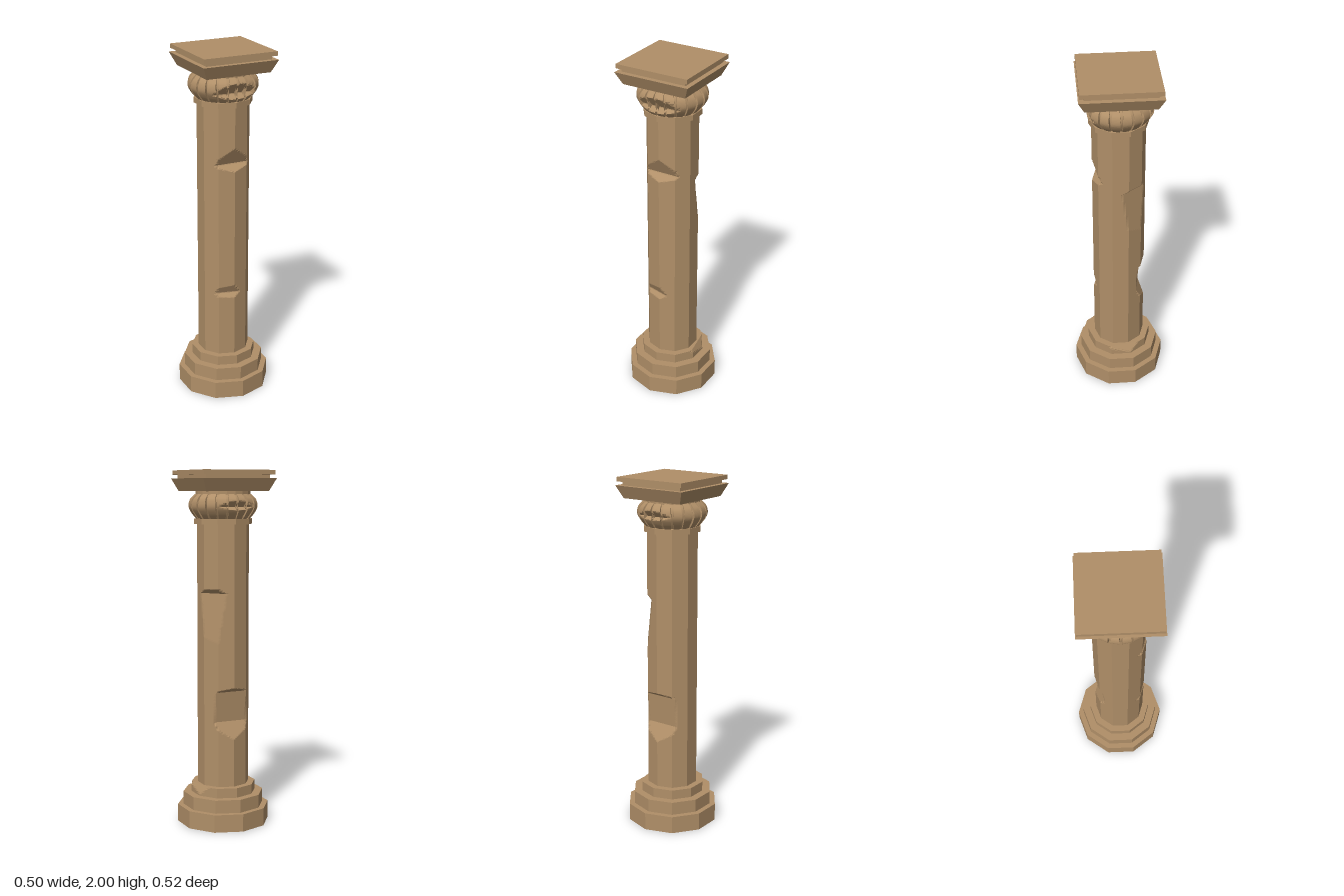
import * as THREE from 'three';

const SIDES = 10;
const rad = THREE.MathUtils.degToRad;

// Radius of a unit decagon (corner on +z) in direction a
function decagon(a) {
  const step = (2 * Math.PI) / SIDES;
  const t = ((a % step) + step) % step;
  return Math.cos(step / 2) / Math.cos(t - step / 2);
}

// A chip is a bearing from +z (degrees) and a concave profile of [y, depth from axis].
// Returns how far from the axis the stone remains in direction a at height y.
function chipLimit(chip, a, y) {
  const c = Math.cos(a - rad(chip.bearing));
  if (c < 0.2) return Infinity;
  let d = 0;
  for (let i = 1; i < chip.profile.length; i++) {
    const [y0, r0] = chip.profile[i - 1];
    const [y1, r1] = chip.profile[i];
    d = Math.max(d, r0 + ((r1 - r0) * (y - y0)) / (y1 - y0));
  }
  return d / c;
}

// Squares a round geometry to a decagon if asked, then knocks the chips out of it
function carve(geo, chips, faceted) {
  const p = geo.attributes.position;
  for (let i = 0; i < p.count; i++) {
    const x = p.getX(i), y = p.getY(i), z = p.getZ(i);
    const a = Math.atan2(x, z);
    let r = Math.hypot(x, z) * (faceted ? decagon(a) : 1);
    for (const chip of chips) r = Math.min(r, chipLimit(chip, a, y));
    p.setXYZ(i, r * Math.sin(a), y, r * Math.cos(a));
  }
  geo.computeVertexNormals();
  return geo;
}

export function createModel() {
  const group = new THREE.Group();
  group.name = 'weatheredColumn';
  const stone = new THREE.MeshStandardMaterial({ color: 0xb08f68, flatShading: true });
  stone.name = 'sandstone';

  const add = (name, geo, parent = group) => {
    const mesh = new THREE.Mesh(geo, stone);
    mesh.name = name;
    parent.add(mesh);
    return mesh;
  };
  const drum = (r0, r1, y0, y1, n = SIDES, rows = 1, open = false) =>
    new THREE.CylinderGeometry(r1, r0, y1 - y0, n, rows, open).translate(0, (y0 + y1) / 2, 0);

  // Stepped base
  add('basePlinth', drum(0.262, 0.262, 0, 0.1));
  add('baseMiddleStep', drum(0.23, 0.23, 0.1, 0.175));
  add('baseUpperStep', carve(drum(0.184, 0.184, 0.175, 0.23, 60, 6),
    [{ bearing: 100, profile: [[0.18, 0.184], [0.23, 0.155]] }], true));

  // Ten-sided shaft with chipped edges
  const shaftChips = [
    { bearing: 0, profile: [[1.34, 0.148], [1.378, 0.1], [1.48, 0.148]] },
    { bearing: -14, profile: [[0.583, 0.143], [0.612, 0.118], [0.67, 0.145]] },
    { bearing: 128, profile: [[1.03, 0.142], [1.325, 0.114], [1.355, 0.146]] },
    { bearing: 180, profile: [[0.5, 0.147], [0.6, 0.094], [0.772, 0.106], [0.795, 0.147]] },
  ];
  add('shaft', carve(drum(0.146, 0.146, 0.23, 1.705, 60, 295, true), shaftChips, true));

  // Collar under the capital
  add('collar', drum(0.162, 0.162, 1.705, 1.735));

  // Capital: bulging core with raised ribs, broken at front and back
  const capital = new THREE.Group();
  capital.name = 'capital';
  group.add(capital);
  const breaks = [
    { bearing: 0, profile: [[1.755, 0.168], [1.782, 0.138], [1.85, 0.188]] },
    { bearing: 180, profile: [[1.785, 0.185], [1.8, 0.16], [1.835, 0.188]] },
  ];
  const bulge = new THREE.CatmullRomCurve3([
    [0.142, 1.732], [0.162, 1.765], [0.176, 1.8], [0.172, 1.84], [0.152, 1.87],
  ].map(([r, y]) => new THREE.Vector3(r, y, 0)));
  const core = bulge.getPoints(28).map((v) => new THREE.Vector2(v.x, v.y));
  add('capitalCore', carve(new THREE.LatheGeometry(core, 60), breaks, false), capital);
  add('capitalNeck', drum(0.155, 0.155, 1.862, 1.888, 20), capital);

  const outer = core.map((v, i) =>
    new THREE.Vector2(v.x + 0.015 * Math.sin(Math.PI * Math.min(1, 0.12 + (i / 28) * 0.8)), v.y));
  const inner = core.map((v) => new THREE.Vector2(v.x - 0.012, v.y)).reverse();
  const ribShape = new THREE.Shape([...inner.reverse(), ...outer.reverse()]);
  const ribCount = 20;
  for (let i = 0; i < ribCount; i++) {
    const rib = new THREE.ExtrudeGeometry(ribShape, { depth: 0.04, steps: 2, bevelEnabled: false });
    rib.translate(0, 0, -0.02);
    // Narrow each rib towards its foot and its tip
    const p = rib.attributes.position;
    for (let k = 0; k < p.count; k++) {
      const t = (p.getY(k) - 1.732) / 0.138;
      p.setZ(k, p.getZ(k) * (0.8 + 0.4 * Math.sin(Math.PI * t)));
    }
    rib.rotateY(((i + 0.5) / ribCount) * Math.PI * 2);
    add('capitalRib', carve(rib, breaks, false), capital);
  }

  // Square abacus: flared block, recess and top slab
  const block = (half0, half1, y0, y1) =>
    drum(half0 * Math.SQRT2, half1 * Math.SQRT2, y0, y1, 4).rotateY(Math.PI / 4);
  add('abacusFlare', block(0.188, 0.22, 1.885, 1.955));
  add('abacusRecess', block(0.192, 0.192, 1.955, 1.976));
  add('abacusSlab', block(0.214, 0.214, 1.976, 2));

  return group;
}
